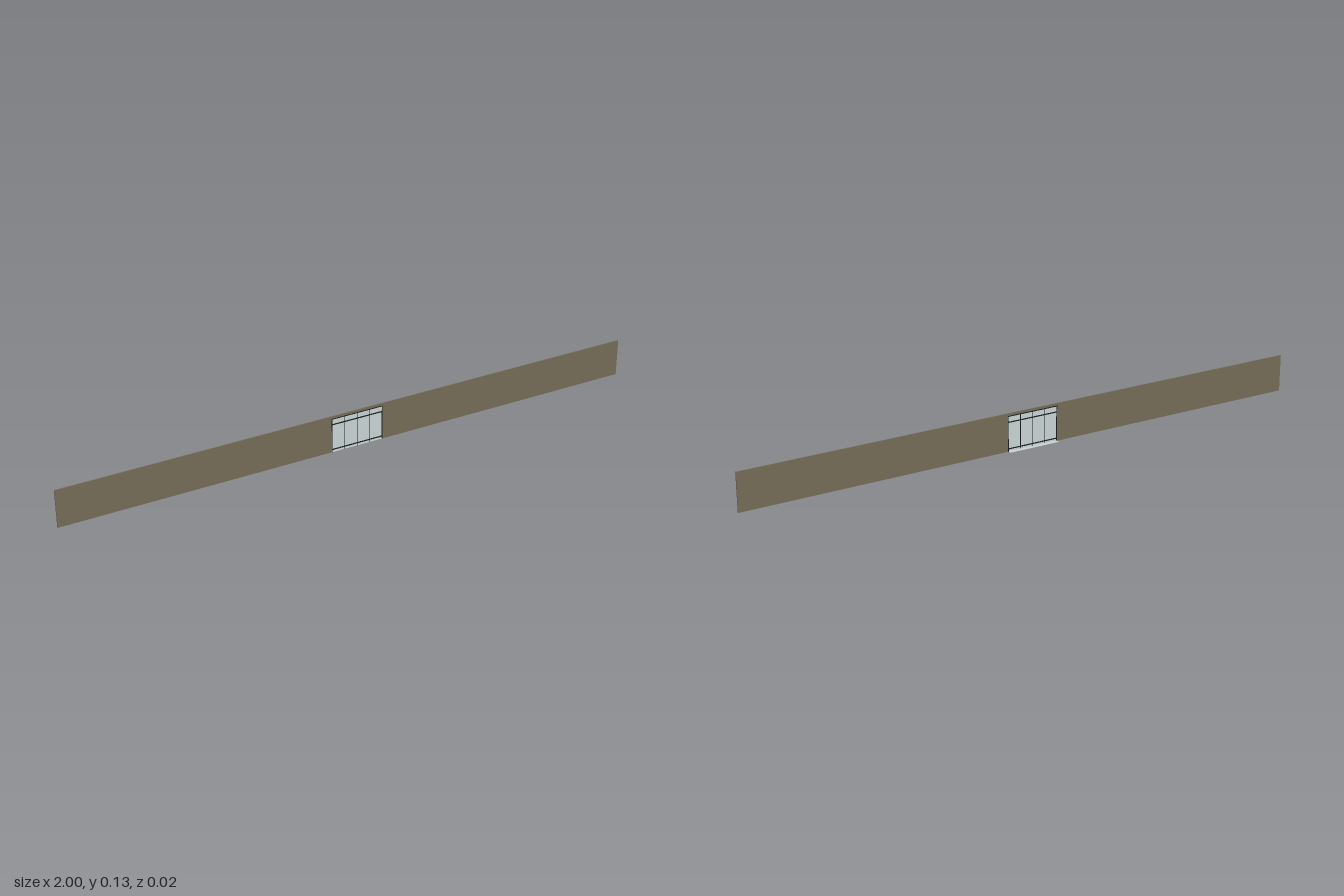
import * as THREE from 'three';

export function createModel() {
  const model = new THREE.Group();
  const mat = (name, color, side = THREE.FrontSide) => {
    const m = new THREE.MeshStandardMaterial({ color, side });
    m.name = name;
    return m;
  };
  const wallMat = mat('olive brown wall', 0x736b57);
  const glassMat = mat('pale glass', 0xc8d3d3, THREE.DoubleSide);
  const frameMat = mat('dark frame', 0x1c1d1d);

  const back = 0.004, front = 0.008, mid = (back + front) / 2;
  const left = -0.091, right = 0.089, head = 0.118, top = 0.126;
  const width = right - left, cx = (left + right) / 2;

  const add = (name, geometry, material, x, y, z) => {
    const mesh = new THREE.Mesh(geometry, material);
    mesh.name = name;
    mesh.position.set(x, y, z);
    model.add(mesh);
    return mesh;
  };
  const box = (name, w, h, d, material, x, y, z) =>
    add(name, new THREE.BoxGeometry(w, h, d), material, x, y, z);

  // Long thin wall with a doorway notched out of its lower edge
  const outline = new THREE.Shape([
    [-1, 0], [left, 0], [left, head], [right, head],
    [right, 0], [1, 0], [1, top], [-1, top],
  ].map(([x, y]) => new THREE.Vector2(x, y)));
  add('wall', new THREE.ExtrudeGeometry(outline, { depth: front - back, bevelEnabled: false }),
    wallMat, 0, 0, back);

  // Four glazed bays: a tall pane with a transom light above
  const bays = 4, bay = width / bays;
  for (let i = 0; i < bays; i++) {
    const x = left + bay * (i + 0.5);
    add('doorPane', new THREE.PlaneGeometry(bay, 0.097), glassMat, x, 0.0485, mid);
    add('transomPane', new THREE.PlaneGeometry(bay, 0.021), glassMat, x, 0.1075, mid);
  }

  // Slender mullions, deeper than they are wide
  for (let i = 0; i <= bays; i++) {
    const edge = i === 0 || i === bays;
    box('mullion', edge ? 0.002 : 0.0006, head, 0.005, frameMat, left + bay * i, head / 2, mid);
  }

  // Horizontal rails
  for (const y of [0.009, 0.097, head - 0.001]) {
    box('rail', width, 0.003, 0.005, frameMat, cx, y, mid);
  }

  // Flat threshold reaching out behind the wall
  box('threshold', width, 0.001, front + 0.008, glassMat, cx, 0.0005, 0);

  return model;
}
